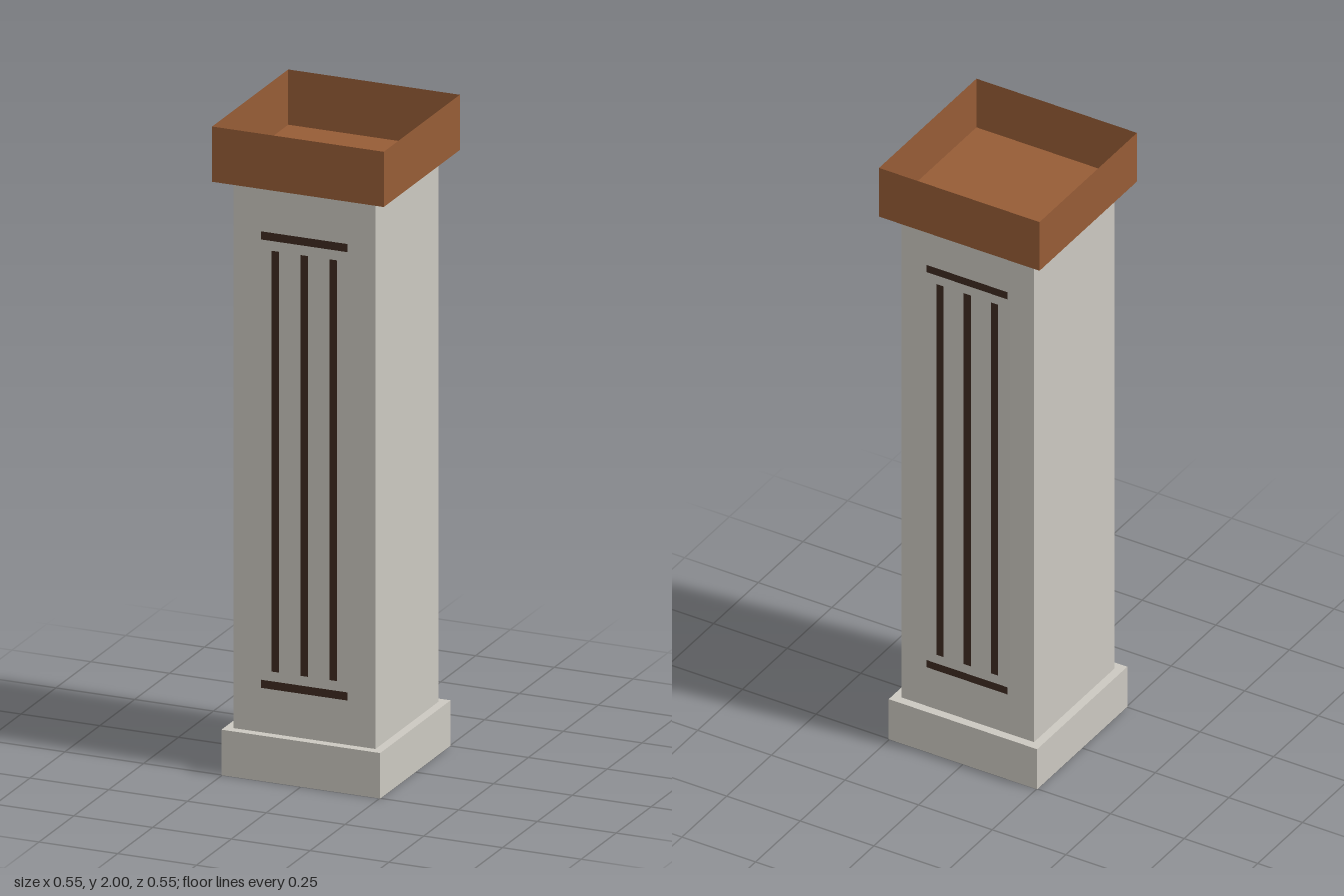
import * as THREE from 'three';

const stone = new THREE.MeshStandardMaterial({ color: 0xcbc8c0, side: THREE.DoubleSide });
const wood = new THREE.MeshStandardMaterial({ color: 0x965c36, side: THREE.DoubleSide });
const dark = new THREE.MeshStandardMaterial({ color: 0x3e2a20 });

// Thin-walled square box from y0 to y1, without the listed faces (2 = top, 3 = bottom)
function shell(name, width, y0, y1, openFaces, material) {
  const geo = new THREE.BoxGeometry(width, y1 - y0, width);
  const index = Array.from(geo.index.array);
  geo.setIndex(index.filter((_, i) => !openFaces.includes(Math.floor(i / 6))));
  geo.clearGroups();
  const mesh = new THREE.Mesh(geo, material);
  mesh.name = name;
  mesh.position.y = (y0 + y1) / 2;
  return mesh;
}

// Flat inlay strip lying just proud of the shaft face
function strip(name, x, y, width, height) {
  const mesh = new THREE.Mesh(new THREE.PlaneGeometry(width, height), dark);
  mesh.name = name;
  mesh.position.set(x, y, 0.228);
  return mesh;
}

// Three uprights between two crossbars
function inlayPanel(name) {
  const panel = new THREE.Group();
  panel.name = name;
  for (const x of [-0.092, 0, 0.092]) panel.add(strip('uprightStrip', x, 0.98, 0.024, 1.295));
  panel.add(strip('lowerCrossStrip', 0, 0.29, 0.275, 0.025));
  panel.add(strip('upperCrossStrip', 0, 1.67, 0.275, 0.025));
  return panel;
}

export function createModel() {
  const model = new THREE.Group();
  model.name = 'squarePillar';

  // Plinth open underneath, hollow shaft, and tray-like cap open above
  model.add(shell('plinth', 0.504, 0, 0.14, [3], stone));
  model.add(shell('shaft', 0.45, 0.14, 1.83, [2, 3], stone));
  model.add(shell('cap', 0.545, 1.83, 2, [2], wood));

  // Inlays on front and back
  const front = inlayPanel('frontInlay');
  const back = inlayPanel('backInlay');
  back.rotation.y = Math.PI;
  model.add(front, back);
  return model;
}
